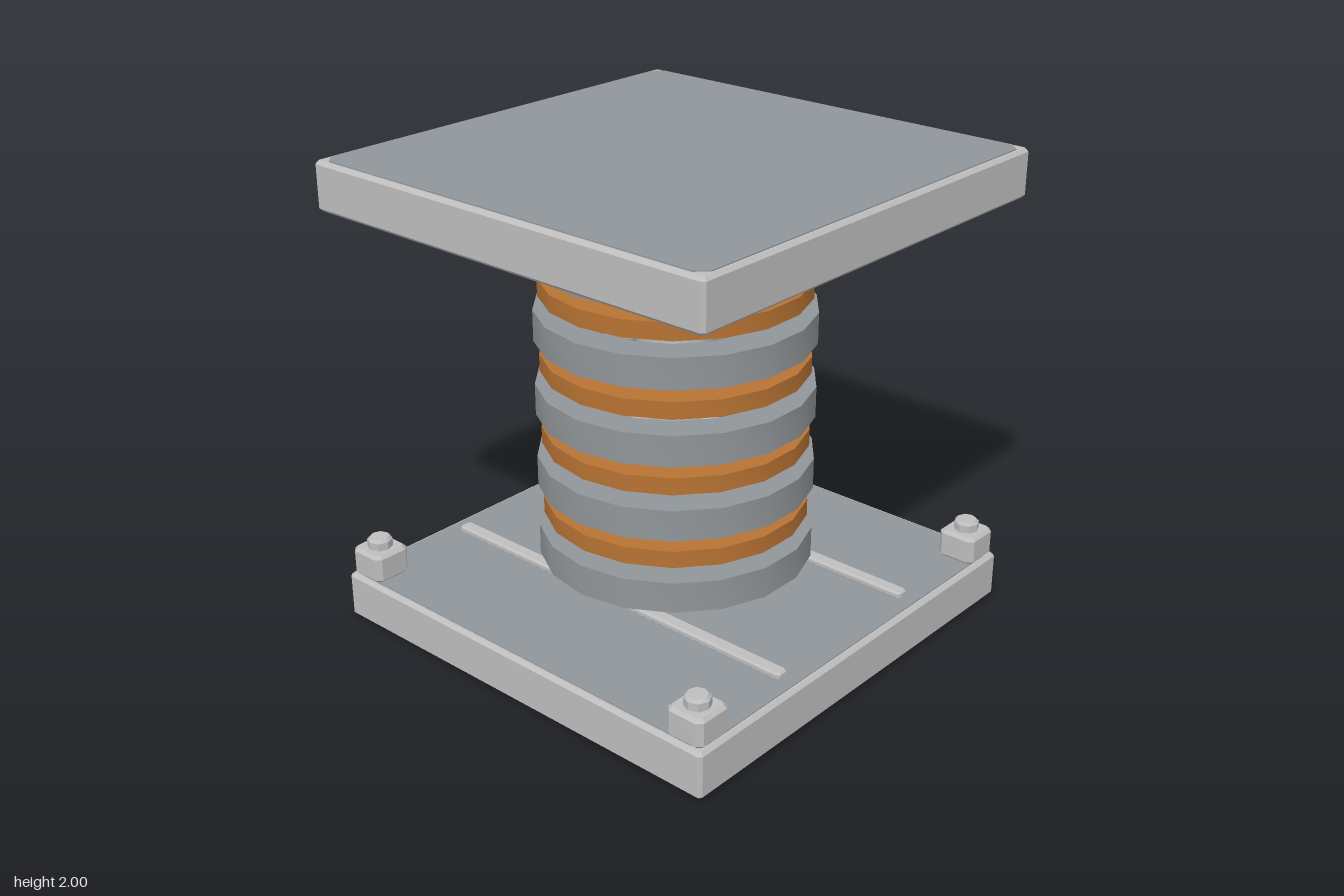
import * as THREE from 'three';
import { toCreasedNormals } from 'three/addons/utils/BufferGeometryUtils.js';

const lightSteel = new THREE.MeshStandardMaterial({ color: 0xbebebe });
lightSteel.name = 'light steel';
const darkSteel = new THREE.MeshStandardMaterial({ color: 0x91969a });
darkSteel.name = 'blue grey steel';
const copper = new THREE.MeshStandardMaterial({ color: 0xb87333 });
copper.name = 'copper';

// Rectangle centred on the origin with clipped corners
function clippedRect(w, d, cut) {
  const x = w / 2, y = d / 2;
  return new THREE.Shape([
    [x - cut, -y], [x, -y + cut], [x, y - cut], [x - cut, y],
    [-x + cut, y], [-x, y - cut], [-x, -y + cut], [-x + cut, -y],
  ].map(([a, b]) => new THREE.Vector2(a, b)));
}

// Block with chamfered edges, standing from y0 to y1
function chamferedBlock(w, d, y0, y1, bevel, cut = bevel) {
  const g = new THREE.ExtrudeGeometry(clippedRect(w - 2 * bevel, d - 2 * bevel, cut), {
    depth: y1 - y0 - 2 * bevel, bevelEnabled: bevel > 0,
    bevelThickness: bevel, bevelSize: bevel, bevelSegments: 1,
  });
  return g.rotateX(-Math.PI / 2).translate(0, y0 + bevel, 0);
}

// Turned part from [radius, height] pairs, with a vertex on the x axis
function turned(points, sides) {
  const g = new THREE.LatheGeometry(points.map(([r, y]) => new THREE.Vector2(r, y)), sides);
  return toCreasedNormals(g.rotateY(Math.PI / 2), 0.68);
}

const drum = (r, y0, y1, sides, bevel = 0) => turned(bevel
  ? [[0, y0], [r, y0], [r, y1 - bevel], [r - bevel, y1], [0, y1]]
  : [[0, y0], [r, y0], [r, y1], [0, y1]], sides);

const ring = (outer, inner, y0, y1) => turned(
  [[outer, y0], [outer, y1], [inner, y1], [inner, y0], [outer, y0]], 18);

export function createModel() {
  const model = new THREE.Group();
  model.name = 'ringedColumn';
  const add = (name, geometry, material, x = 0, z = 0, parent = model) => {
    const mesh = new THREE.Mesh(geometry, material);
    mesh.name = name;
    mesh.position.set(x, 0, z);
    parent.add(mesh);
    return mesh;
  };

  // Base and top plates, each with a face panel above and below
  for (const [name, y] of [['basePlate', 0], ['topPlate', 1.79]]) {
    const plate = new THREE.Group();
    plate.name = name;
    model.add(plate);
    add(name + 'Body', chamferedBlock(1.946, 1.946, y + 0.004, y + 0.206, 0.014, 0.006), lightSteel, 0, 0, plate);
    for (const py of [y, y + 0.202]) {
      add(name + 'Panel', chamferedBlock(1.9, 1.9, py, py + 0.008, 0, 0.045), darkSteel, 0, 0, plate);
    }
  }

  for (const s of [-1, 1]) {
    // Rails on the facing sides of both plates
    add('baseRail', chamferedBlock(0.06, 1.78, 0.205, 0.236, 0.008), lightSteel, s * 0.395);
    add('topRail', chamferedBlock(0.06, 1.78, 1.766, 1.795, 0.008), lightSteel, s * 0.395);
    // Corner blocks with bolt heads
    for (const t of [-1, 1]) {
      add('cornerBlock', chamferedBlock(0.17, 0.17, 0.205, 0.33, 0.014), lightSteel, s * 0.875, t * 0.875);
      add('cornerBolt', drum(0.053, 0.325, 0.375, 8, 0.012), lightSteel, s * 0.875, t * 0.875);
    }
  }

  // Central column: collar, thick sleeve, cap and slim shaft
  add('baseCollar', drum(0.306, 0.2, 0.3, 18), lightSteel);
  add('lowerSleeve', drum(0.27, 0.29, 0.88, 16), lightSteel);
  add('sleeveFlange', drum(0.305, 0.872, 0.887, 18), lightSteel);
  add('sleeveCap', drum(0.268, 0.885, 0.93, 16, 0.014), lightSteel);
  add('upperShaft', drum(0.161, 0.92, 1.8, 10), lightSteel);
  add('topCollar', drum(0.195, 1.71, 1.77, 12), lightSteel);

  // Copper front strip and its two feet
  const strip = chamferedBlock(0.155, 0.08, 0.295, 0.81, 0.01);
  add('frontStrip', strip, copper, 0, 0.258);
  for (const s of [-1, 1]) {
    add('stripFoot', chamferedBlock(0.042, 0.05, 0.278, 0.31, 0.008), copper, s * 0.056, 0.285);
  }

  // Alternating steel and copper rings
  for (let i = 0; i < 5; i++) {
    const y = 0.302 + i * 0.318;
    add('steelRing', ring(0.571, 0.435, y, y + 0.132), darkSteel);
    if (i < 4) add('copperRing', ring(0.55, 0.44, y + 0.19, y + 0.262), copper);
  }
  return model;
}
